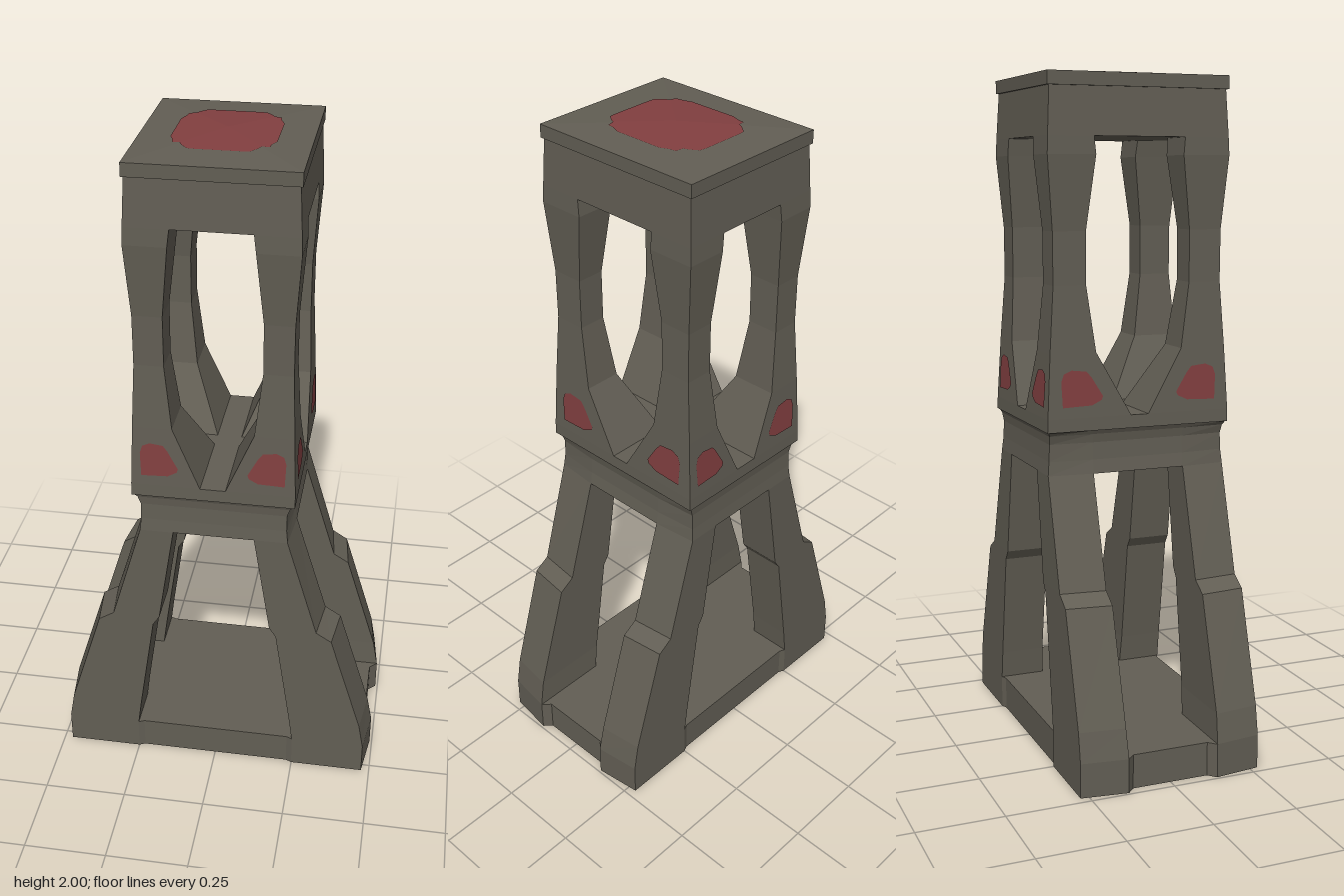
import * as THREE from 'three';

const stone = new THREE.MeshStandardMaterial({ color: 0x625e54 });
stone.name = 'stone';
const redPaint = new THREE.MeshStandardMaterial({ color: 0x823f40, side: THREE.DoubleSide });
redPaint.name = 'red paint';

// Flat-shaded mesh from a list of [x, y, z] triangle corners
function facetMesh(name, corners, material) {
  const geo = new THREE.BufferGeometry();
  geo.setAttribute('position', new THREE.Float32BufferAttribute(corners.flat(), 3));
  geo.computeVertexNormals();
  const mesh = new THREE.Mesh(geo, material);
  mesh.name = name;
  return mesh;
}

function centre(ring) {
  return [0, 1, 2].map(k => ring.reduce((s, p) => s + p[k], 0) / ring.length);
}

// Closed solid through horizontal rings, listed from bottom to top
function loft(name, rings) {
  const out = [], n = rings[0].length, last = rings.length - 1;
  const low = centre(rings[0]), high = centre(rings[last]);
  for (let i = 0; i < n; i++) {
    const j = (i + 1) % n;
    for (let r = 0; r < last; r++) {
      const [a, b, A, B] = [rings[r][i], rings[r][j], rings[r + 1][i], rings[r + 1][j]];
      out.push(a, A, b, b, A, B);
    }
    out.push(low, rings[0][i], rings[0][j], high, rings[last][j], rings[last][i]);
  }
  return facetMesh(name, out, stone);
}

// Mirror one quadrant of [x, z] points (x side to z side) into a full loop
function fullLoop(q) {
  const back = [...q].reverse();
  return [
    ...q, ...back.map(([x, z]) => [-x, z]),
    ...q.map(([x, z]) => [-x, -z]), ...back.map(([x, z]) => [x, -z]),
  ];
}
const ringAt = (y, loop) => loop.map(([x, z]) => [x, y, z]);

// Corner column: levels are [y, inner x, outer x, inner z, outer z, outer slant]
function column(name, levels, sx, sz) {
  return loft(name, levels.map(([y, ix, ox, iz, oz, slant]) => {
    const loop = [[ix, iz], [ox, iz], [ox - slant, oz], [ix, oz]].map(([x, z]) => [x * sx, z * sz]);
    if (sx * sz < 0) loop.reverse();
    return ringAt(y, loop);
  }));
}

// Full-width block: levels are [y, half x, half z, corner slant]
function block(name, levels) {
  return loft(name, levels.map(([y, x, z, slant]) =>
    ringAt(y, fullLoop([[x, 0.14], [x - slant, z]]))));
}

function fan(name, middle, loop) {
  const out = [];
  loop.forEach((p, i) => out.push(middle, loop[(i + 1) % loop.length], p));
  return facetMesh(name, out, redPaint);
}

export function createModel() {
  const model = new THREE.Group();
  model.name = 'tower';

  // Base plate with feet standing slightly proud at the corners
  const foot = fullLoop([[0.47, 0.115], [0.493, 0.137], [0.475, 0.275], [0.25, 0.275], [0.232, 0.267]]);
  model.add(loft('basePlate', [ringAt(0, foot), ringAt(0.1, foot)]));

  // Four splayed legs and four curved upper posts
  const legLevels = [
    [0.1, 0.249, 0.493, 0.137, 0.275, 0.018],
    [0.185, 0.238, 0.477, 0.14, 0.275, 0.017],
    [0.51, 0.19, 0.376, 0.14, 0.275, 0.016],
    [0.54, 0.17, 0.328, 0.14, 0.275, 0.015],
    [0.86, 0.12, 0.231, 0.14, 0.274, 0.012],
  ];
  const postLevels = [
    [1.025, 0.037, 0.238, 0.027, 0.28, 0],
    [1.21, 0.117, 0.231, 0.132, 0.27, 0],
    [1.4, 0.138, 0.223, 0.159, 0.257, 0],
    [1.55, 0.138, 0.223, 0.159, 0.258, 0],
    [1.76, 0.117, 0.237, 0.133, 0.276, 0],
    [1.81, 0.111, 0.235, 0.138, 0.274, 0],
  ];
  for (const sx of [1, -1]) for (const sz of [1, -1]) {
    model.add(column('leg', legLevels, sx, sz));
    model.add(column('post', postLevels, sx, sz));
  }

  // Waist flaring into the upper floor
  model.add(block('waist', [
    [0.86, 0.231, 0.274, 0.012], [0.9, 0.225, 0.27, 0.01], [0.95, 0.223, 0.268, 0.008],
    [0.975, 0.228, 0.271, 0.005], [0.987, 0.234, 0.276, 0],
  ]));
  model.add(block('upperFloor', [[0.987, 0.238, 0.281, 0], [1.025, 0.238, 0.28, 0]]));

  // Head and overhanging cap slab
  model.add(block('head', [[1.81, 0.235, 0.274, 0], [1.945, 0.228, 0.267, 0]]));
  const capX = 0.234, capZ = 0.274;
  model.add(block('capSlab', [[1.945, capX, capZ, 0], [1.983, capX, capZ, 0]]));

  // Shallow pyramid on the cap
  const roofY = (x, z) => 1.983 + 0.015 * (1 - Math.max(Math.abs(x) / capX, Math.abs(z) / capZ));
  const corners = fullLoop([[capX, capZ]]), roof = [];
  corners.forEach(([x, z], i) => {
    const [nx, nz] = corners[(i + 1) % 4];
    roof.push([0, 1.998, 0], [nx, 1.983, nz], [x, 1.983, z]);
  });
  model.add(facetMesh('capTop', roof, stone));

  // Painted patch on the cap
  const patch = fullLoop([
    [0.142, 0.075], [0.132, 0.1], [0.129, 0.122], [0.108, 0.1265], [0.1, 0.142], [0.083, 0.163], [0.065, 0.165],
  ]);
  model.add(fan('capPatch', [0, 2, 0], patch.map(([x, z]) => [x, roofY(x, z) + 0.002, z])));

  // Painted spots low on every face of the upper tower
  const spot = [
    [0.207, 1.057], [0.21, 1.13], [0.203, 1.152], [0.182, 1.162], [0.143, 1.157],
    [0.13, 1.14], [0.1, 1.085], [0.104, 1.074], [0.13, 1.06],
  ];
  const faceZ = y => 0.283 - (y - 1.025) * 0.054;
  const faceX = y => 0.241 - (y - 1.025) * 0.038;
  for (const face of [1, -1]) for (const s of [1, -1]) {
    const front = spot.map(([u, y]) => [u * s, y, faceZ(y) * face]);
    const side = spot.map(([u, y]) => [faceX(y) * face, y, u * 1.14 * s]);
    model.add(fan('frontSpot', centre(front), front));
    model.add(fan('sideSpot', centre(side), side));
  }
  return model;
}
